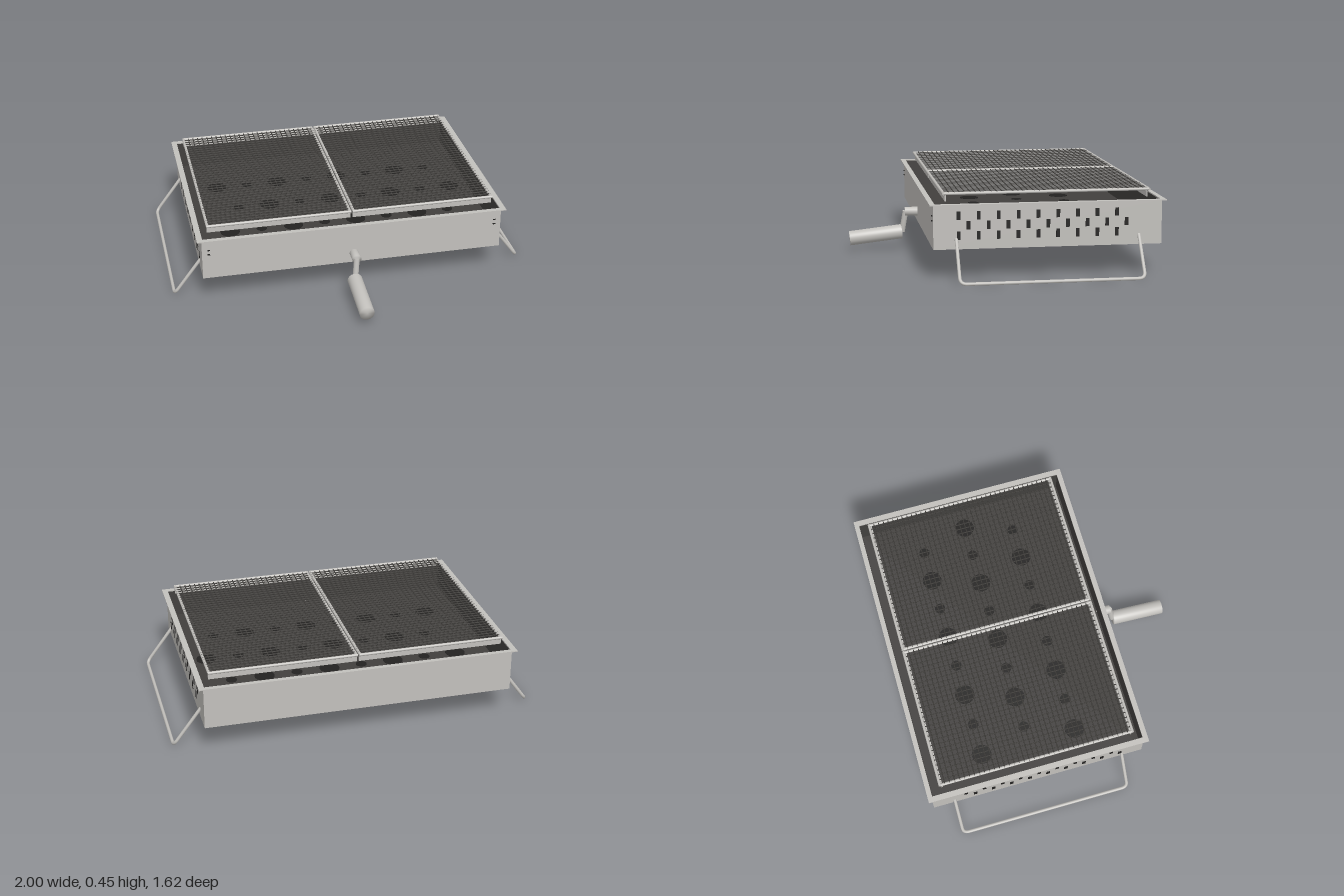
import * as THREE from 'three';
import { mergeGeometries, mergeVertices } from 'three/addons/utils/BufferGeometryUtils.js';

export function createModel() {
  const model = new THREE.Group();
  model.name = 'charcoalGrill';

  const material = (name, color) => {
    const m = new THREE.MeshStandardMaterial({ color });
    m.name = name;
    return m;
  };
  const steel = material('steel', 0xc2c0bc);
  const liner = material('dark liner', 0x42403e);
  const wire = material('dark wire', 0x403e3b);
  const black = material('black openings', 0x232221);

  const add = (name, geometry, mat, parent = model) => {
    const mesh = new THREE.Mesh(geometry, mat);
    mesh.name = name;
    parent.add(mesh);
    return mesh;
  };
  // Box given by its lower and upper corners
  const box = (x0, y0, z0, x1, y1, z1) =>
    new THREE.BoxGeometry(x1 - x0, y1 - y0, z1 - z0)
      .translate((x0 + x1) / 2, (y0 + y1) / 2, (z0 + z1) / 2);
  // Cylinder between two points
  const rod = (a, b, radius, sides = 10) => {
    const from = new THREE.Vector3(...a), to = new THREE.Vector3(...b);
    const dir = to.clone().sub(from);
    const g = new THREE.CylinderGeometry(radius, radius, dir.length(), sides);
    g.applyQuaternion(new THREE.Quaternion().setFromUnitVectors(
      new THREE.Vector3(0, 1, 0), dir.normalize()));
    const c = from.add(to).multiplyScalar(0.5);
    return g.translate(c.x, c.y, c.z);
  };
  // Share normals across the end edges for a soft look
  const soften = (geometry) => {
    geometry.deleteAttribute('normal');
    geometry.deleteAttribute('uv');
    const g = mergeVertices(geometry);
    g.computeVertexNormals();
    return g;
  };

  // Firebox: four walls and a bottom
  const X = 0.84, Zb = -0.79, Zf = 0.42, Y0 = 0.16, Y1 = 0.395, t = 0.006;
  add('fireboxBottom', box(-X, Y0, Zb, X, Y0 + t, Zf), steel);
  add('fireboxWalls', mergeGeometries([
    box(-X, Y0, Zf - t, X, Y1, Zf), box(-X, Y0, Zb, X, Y1, Zb + t),
    box(-X, Y0, Zb, -X + t, Y1, Zf), box(X - t, Y0, Zb, X, Y1, Zf),
  ]), steel);

  // Dark lining and charcoal plate inside
  const xi = X - t, zb = Zb + t, zf = Zf - t, plateY = 0.24, l = 0.003;
  add('innerLining', mergeGeometries([
    box(-xi, plateY, zf - l, xi, 0.392, zf), box(-xi, plateY, zb, xi, 0.392, zb + l),
    box(-xi, plateY, zb, -xi + l, 0.392, zf), box(xi - l, plateY, zb, xi, 0.392, zf),
  ]), liner);
  add('charcoalPlate', box(-xi, plateY - 0.006, zb, xi, plateY, zf), liner);

  // Staggered large and small air holes in the plate
  const holes = [];
  [-0.457, -0.187, 0.083].forEach((z, row) => {
    for (let i = 0; i < 8; i++) {
      const r = (i + row) % 2 === 0 ? 0.055 : 0.03;
      const x = (row === 1 ? -0.55 : -0.64) + i * 0.1815;
      holes.push(new THREE.CylinderGeometry(r, r, 0.002, 24).translate(x, plateY + 0.001, z));
    }
  });
  add('plateHoles', mergeGeometries(holes), black);

  // Flat rim around the top
  const rect = (path, x, z0, z1) =>
    path.moveTo(-x, -z1).lineTo(x, -z1).lineTo(x, -z0).lineTo(-x, -z0).closePath();
  const rimShape = rect(new THREE.Shape(), 0.865, -0.81, 0.44);
  rimShape.holes.push(rect(new THREE.Path(), 0.834, -0.784, 0.412));
  add('rim', new THREE.ExtrudeGeometry(rimShape, { depth: 0.005, bevelEnabled: false })
    .rotateX(-Math.PI / 2).translate(0, 0.393, 0), steel);

  // Vent slots on both sides, in three staggered rows
  for (const s of [-1, 1]) {
    const slots = [];
    [0.337, 0.285, 0.232].forEach((y, row) => {
      for (let i = 0; i < 9; i++) {
        const z = (row === 1 ? 0.236 : 0.288) - i * 0.1045;
        slots.push(new THREE.BoxGeometry(0.004, 0.044, 0.02).translate(s * X, y, z));
      }
    });
    add(s > 0 ? 'leftVents' : 'rightVents', mergeGeometries(slots), black);
    // Pair of small slots near the front corner
    const small = [0.333, 0.307].map(y =>
      new THREE.BoxGeometry(0.014, 0.005, 0.008).translate(s * 0.803, y, Zf + 0.002));
    add(s > 0 ? 'leftFrontSlots' : 'rightFrontSlots', mergeGeometries(small), black);
  }

  // Bent wire stand on each side
  for (const s of [-1, 1]) {
    const p = (k, z) => new THREE.Vector3(
      s * THREE.MathUtils.lerp(0.836, 0.991, k), THREE.MathUtils.lerp(0.215, 0.009, k), z);
    const path = new THREE.CurvePath();
    const zA = 0.3, zB = -0.668, r = 0.035, k = 0.86;
    path.add(new THREE.LineCurve3(p(0, zA), p(k, zA)));
    path.add(new THREE.QuadraticBezierCurve3(p(k, zA), p(1, zA), p(1, zA - r)));
    path.add(new THREE.LineCurve3(p(1, zA - r), p(1, zB + r)));
    path.add(new THREE.QuadraticBezierCurve3(p(1, zB + r), p(1, zB), p(k, zB)));
    path.add(new THREE.LineCurve3(p(k, zB), p(0, zB)));
    add(s > 0 ? 'leftStand' : 'rightStand', new THREE.TubeGeometry(path, 160, 0.009, 10), steel);
  }

  // Two cooking grates: rod frame, end strips and woven wire
  const gy = 0.446, gz0 = -0.728, gz1 = 0.361;
  for (const s of [-1, 1]) {
    const grate = new THREE.Group();
    grate.name = s > 0 ? 'leftGrate' : 'rightGrate';
    model.add(grate);
    const x0 = s > 0 ? 0.01 : -0.797, x1 = s > 0 ? 0.797 : -0.01;
    add('grateFrame', mergeGeometries([
      rod([x0 - 0.006, gy, gz0], [x1 + 0.006, gy, gz0], 0.008),
      rod([x0 - 0.006, gy, gz1], [x1 + 0.006, gy, gz1], 0.008),
      rod([x0, gy, gz0], [x0, gy, gz1], 0.008), rod([x1, gy, gz0], [x1, gy, gz1], 0.008),
    ]), steel, grate);
    add('grateStrips', mergeGeometries([
      box(x0 - 0.004, 0.406, 0.348, x1 + 0.004, 0.434, 0.355),
      box(x0 - 0.004, 0.406, -0.721, x1 + 0.004, 0.434, -0.714),
    ]), steel, grate);
    const wires = [], w = 0.003, nx = 28, nz = 39, top = gy + 0.005;
    for (let i = 1; i < nx; i++) {
      const x = THREE.MathUtils.lerp(x0, x1, i / nx);
      wires.push(rod([x, top - 0.002, gz0 - 0.004], [x, top - 0.002, gz1 + 0.004], w, 6));
    }
    for (let i = 1; i < nz; i++) {
      const z = THREE.MathUtils.lerp(gz0, gz1, i / nz);
      wires.push(rod([x0 - 0.004, top, z], [x1 + 0.004, top, z], w, 6));
    }
    add('grateMesh', mergeGeometries(wires), wire, grate);
  }

  // Front crank: stub, arm and grip
  const crank = new THREE.Group();
  crank.name = 'frontHandle';
  model.add(crank);
  add('handleStub', soften(rod([0, 0.217, 0.41], [0, 0.217, 0.492], 0.025, 24)), steel, crank);
  add('handleArm', rod([0, 0.22, 0.488], [-0.012, 0.098, 0.508], 0.016, 20), steel, crank);
  add('handleGrip', soften(rod([-0.015, 0.099, 0.51], [-0.015, 0.066, 0.808], 0.041, 32)), steel, crank);

  return model;
}
